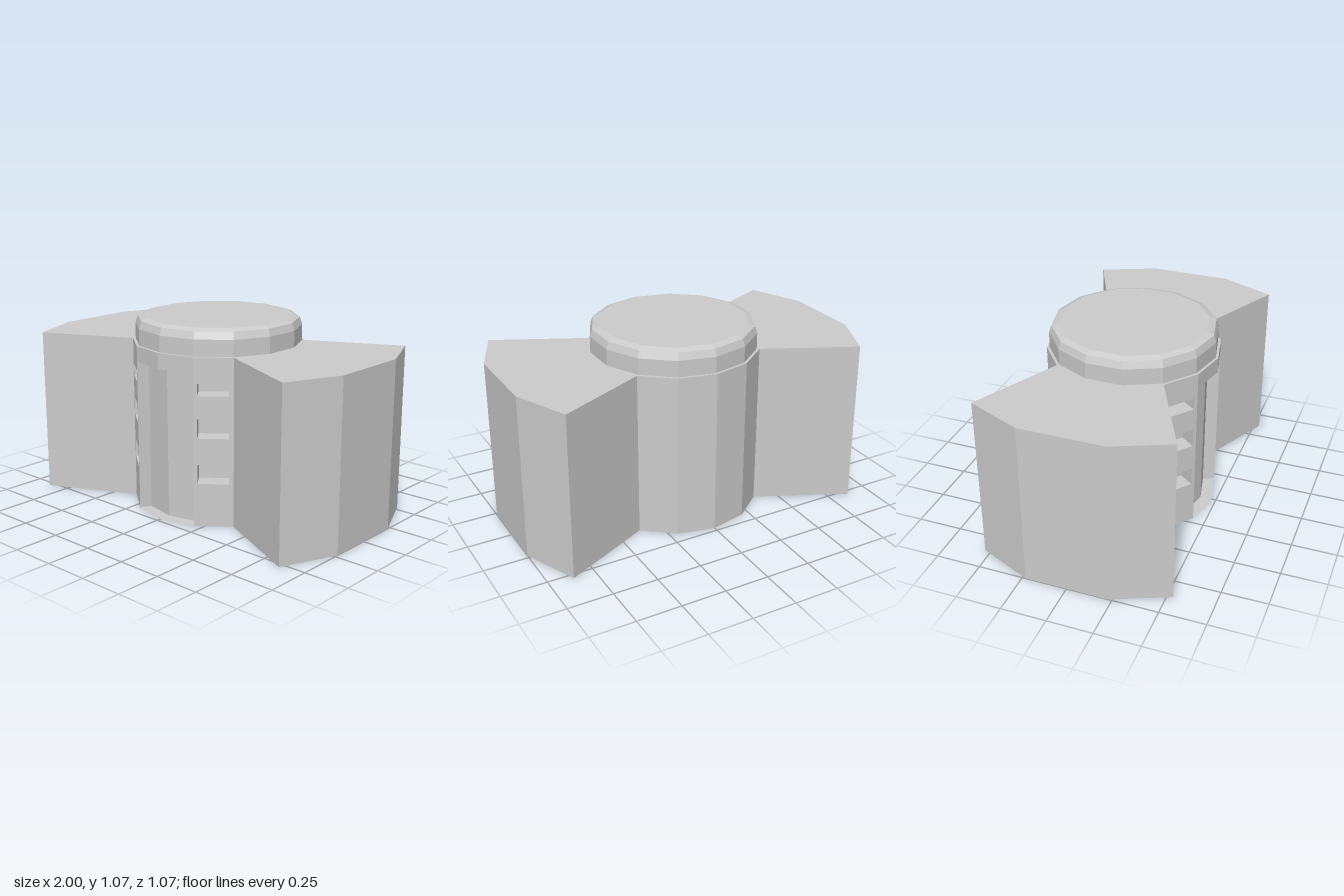
import * as THREE from 'three';

const material = new THREE.MeshStandardMaterial({ color: 0xcccccc, flatShading: true, side: THREE.DoubleSide });
const HEIGHT = 0.925, DOOR_TOP = 0.84, RADIUS = 0.475, DOOR_RADIUS = 0.408, STEP = Math.PI / 7;

function addMesh(group, name, geometry) {
  const mesh = new THREE.Mesh(geometry, material);
  mesh.name = name;
  group.add(mesh);
  return mesh;
}

// Plan point [x, z] on the fourteen-sided core
const corePoint = (k, r = RADIUS) => [r * Math.sin(k * STEP), r * Math.cos(k * STEP)];

// Flat horizontal face from plan points
function slab(points, y) {
  const shape = new THREE.Shape(points.map(([x, z]) => new THREE.Vector2(x, -z)));
  return new THREE.ShapeGeometry(shape).rotateX(-Math.PI / 2).translate(0, y, 0);
}

// Matrix standing a panel upright along p -> q, facing outward
function wallMatrix(p, q) {
  const along = new THREE.Vector3(q[0] - p[0], 0, q[1] - p[1]).normalize();
  const up = new THREE.Vector3(0, 1, 0);
  const out = new THREE.Vector3().crossVectors(along, up);
  return new THREE.Matrix4().makeBasis(along, up, out).setPosition(p[0], 0, p[1]);
}

function rectangle(Type, u0, u1, y0, y1) {
  return new Type([[u0, y0], [u1, y0], [u1, y1], [u0, y1]].map(c => new THREE.Vector2(...c)));
}

// Upright panel from p to q with optional rectangular openings
function wall(p, q, y0, y1, openings = []) {
  const length = Math.hypot(q[0] - p[0], q[1] - p[1]);
  const shape = rectangle(THREE.Shape, 0, length, y0, y1);
  shape.holes = openings.map(o => rectangle(THREE.Path, ...o));
  return new THREE.ShapeGeometry(shape).applyMatrix4(wallMatrix(p, q));
}

// Back and four sides of a window recess
function addRecess(group, p, q, [u0, u1, y0, y1], depth) {
  const w = u1 - u0, h = y1 - y0, u = (u0 + u1) / 2, y = (y0 + y1) / 2, m = wallMatrix(p, q);
  const parts = [
    new THREE.PlaneGeometry(w, h).translate(u, y, -depth),
    new THREE.PlaneGeometry(depth, h).rotateY(Math.PI / 2).translate(u0, y, -depth / 2),
    new THREE.PlaneGeometry(depth, h).rotateY(-Math.PI / 2).translate(u1, y, -depth / 2),
    new THREE.PlaneGeometry(w, depth).rotateX(-Math.PI / 2).translate(u, y0, -depth / 2),
    new THREE.PlaneGeometry(w, depth).rotateX(Math.PI / 2).translate(u, y1, -depth / 2),
  ];
  for (const part of parts) addMesh(group, 'windowRecess', part.applyMatrix4(m));
}

export function createModel() {
  const model = new THREE.Group();
  model.name = 'tower';

  // Plan outline: front of core, one wing, back of core, other wing
  const wing = [[0.868, 0.533], [1, 0.23], [1, -0.23], [0.868, -0.533]];
  const outline = [
    ...[-2, -1, 0, 1, 2].map(k => corePoint(k)),
    ...wing,
    ...[5, 6, 7, 8, 9].map(k => corePoint(k)),
    ...wing.map(([x, z]) => [-x, -z]),
  ];
  addMesh(model, 'roof', slab(outline, HEIGHT));
  addMesh(model, 'base', slab([...outline].reverse(), 0).scale(1, 1, 1));

  // Outer walls; the front core panels carry the windows and the doorway
  const windows = [[0.24, 0.345], [0.49, 0.595], [0.72, 0.785]];
  outline.forEach((p, i) => {
    const q = outline[(i + 1) % outline.length];
    if (i === 0 || i === 3) {
      const [u0, u1] = i === 3 ? [0.02, 0.186] : [0.025, 0.191];
      const openings = windows.map(([y0, y1]) => [u0, u1, y0, y1]);
      addMesh(model, 'windowWall', wall(p, q, 0, HEIGHT, openings));
      for (const o of openings) addRecess(model, p, q, o, 0.1);
    } else if (i === 1 || i === 2) {
      addMesh(model, 'doorLintel', wall(p, q, DOOR_TOP, HEIGHT));
    } else {
      addMesh(model, 'outerWall', wall(p, q, 0, HEIGHT));
    }
  });

  // Recessed door: two panels, side jambs and the underside of the lintel
  const outer = [-1, 0, 1].map(k => corePoint(k));
  const inner = [-1, 0, 1].map(k => corePoint(k, DOOR_RADIUS));
  addMesh(model, 'doorPanel', wall(inner[0], inner[1], 0, DOOR_TOP));
  addMesh(model, 'doorPanel', wall(inner[1], inner[2], 0, DOOR_TOP));
  addMesh(model, 'doorJamb', wall(outer[0], inner[0], 0, DOOR_TOP));
  addMesh(model, 'doorJamb', wall(inner[2], outer[2], 0, DOOR_TOP));
  addMesh(model, 'doorSoffit', slab([...outer, ...inner.reverse()], DOOR_TOP));

  // Bevelled cap on the core
  const profile = [[0.46, HEIGHT], [0.46, 1.015], [0.446, 1.055], [0.41, 1.068], [0, 1.068]];
  addMesh(model, 'cap', new THREE.LatheGeometry(profile.map(c => new THREE.Vector2(...c)), 14));

  return model;
}
